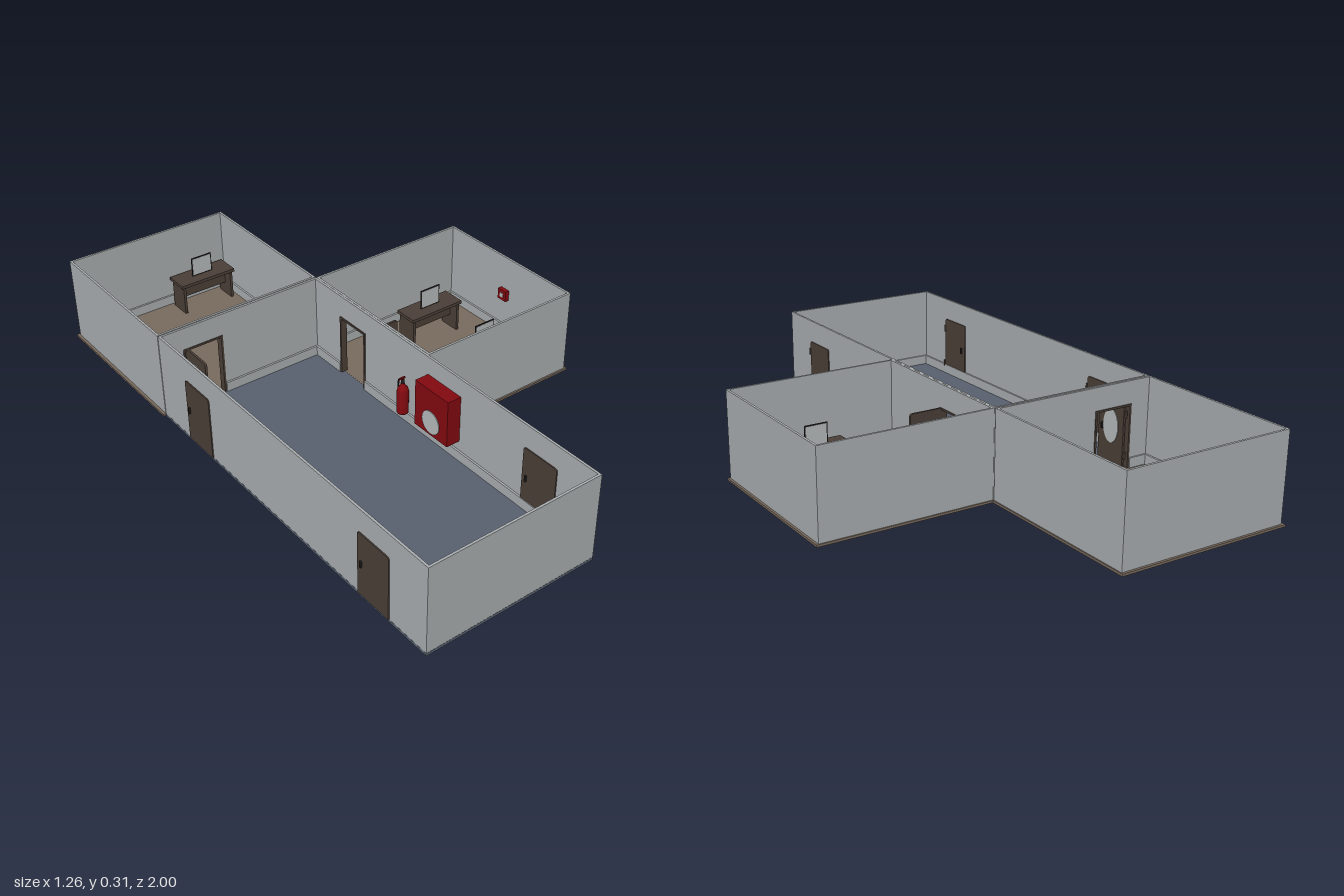
import * as THREE from 'three';

const mat = (name, color) => {
  const m = new THREE.MeshStandardMaterial({ color });
  m.name = name;
  return m;
};

export function createModel() {
  const model = new THREE.Group();
  model.name = 'floorPlan';
  const M = {
    wall: mat('wall grey', 0xabafb1),
    blue: mat('blue grey floor', 0x586170),
    brown: mat('brown floor', 0x796b5e),
    wood: mat('dark wood', 0x4b3f38),
    red: mat('safety red', 0x840a10),
    dark: mat('black fittings', 0x25211f),
    pale: mat('pale panel', 0xb8bcbd),
  };
  const H = 0.315, T = 0.008, DOOR_H = 0.235, FLOOR = 0.01;

  const add = (parent, name, geo, material, x = 0, y = 0, z = 0) => {
    const m = new THREE.Mesh(geo, material);
    m.name = name;
    m.position.set(x, y, z);
    parent.add(m);
    return m;
  };
  // box given by its minimum and maximum corners
  const span = (parent, name, material, x0, x1, y0, y1, z0, z1) =>
    add(parent, name, new THREE.BoxGeometry(x1 - x0, y1 - y0, z1 - z0), material,
      (x0 + x1) / 2, (y0 + y1) / 2, (z0 + z1) / 2);

  // wall along x (axis 'x') or z (axis 'z') from a to b, occupying c..c+T, with an optional doorway
  function wall(parent, name, axis, a, b, c, gap) {
    const piece = (s, e, y0, y1) => axis === 'x'
      ? span(parent, name, M.wall, s, e, y0, y1, c, c + T)
      : span(parent, name, M.wall, c, c + T, y0, y1, s, e);
    if (!gap) return piece(a, b, 0.006, H);
    piece(a, gap[0], 0.006, H);
    piece(gap[1], b, 0.006, H);
    piece(gap[0], gap[1], DOOR_H, H);
  }

  // skirting strip along the inner face of a wall, dir is the inward side
  function skirting(parent, axis, a, b, c, dir, gap) {
    const lo = Math.min(c, c + dir * 0.007), hi = Math.max(c, c + dir * 0.007);
    const parts = gap ? [[a, gap[0]], [gap[1], b]] : [[a, b]];
    for (const [s, e] of parts) {
      if (axis === 'x') span(parent, 'skirting', M.wall, s, e, FLOOR, 0.045, lo, hi);
      else span(parent, 'skirting', M.wall, lo, hi, FLOOR, 0.045, s, e);
    }
  }

  // one room: four walls with skirting, doorways keyed by side
  function room(name, x0, x1, z0, z1, gaps) {
    const g = new THREE.Group();
    g.name = name;
    model.add(g);
    wall(g, 'leftWall', 'z', z0, z1, x1 - T, gaps.left);
    wall(g, 'rightWall', 'z', z0, z1, x0, gaps.right);
    wall(g, 'frontWall', 'x', x0 + T, x1 - T, z1 - T, gaps.front);
    wall(g, 'backWall', 'x', x0 + T, x1 - T, z0, gaps.back);
    skirting(g, 'z', z0 + T, z1 - T, x1 - T, -1, gaps.left);
    skirting(g, 'z', z0 + T, z1 - T, x0 + T, 1, gaps.right);
    skirting(g, 'x', x0 + T, x1 - T, z1 - T, -1, gaps.front);
    skirting(g, 'x', x0 + T, x1 - T, z0 + T, 1, gaps.back);
    return g;
  }

  const sideGap = [-0.22, -0.08], backGap = [-0.54, -0.39];
  const hall = room('hall', -0.622, 0, -0.372, 1, { left: sideGap, back: backGap });
  const rear = room('rearOffice', -0.622, 0, -0.992, -0.376, { front: backGap });
  const side = room('sideOffice', 0.001, 0.62, -0.372, 0.24, { right: sideGap });

  // floors, with grey undersides below the offices
  span(hall, 'hallFloor', M.blue, -0.6225, 0.0005, 0, FLOOR, -0.372, 1.0005);
  span(rear, 'rearFloor', M.brown, -0.632, 0.004, 0.002, FLOOR, -1, -0.373);
  span(rear, 'rearUnderside', M.wall, -0.62, -0.008, 0, 0.002, -0.988, -0.373);
  span(side, 'sideFloor', M.brown, 0.001, 0.628, 0.002, FLOOR, -0.376, 0.246);
  span(side, 'sideUnderside', M.wall, 0.001, 0.616, 0, 0.002, -0.366, 0.236);

  // door leaf in local xy, hinged at x = 0, with rounded top corners
  function door(name, x, z, turn, width = 0.14, depth = 0.008, oval = false) {
    const g = new THREE.Group();
    g.name = name;
    const h = DOOR_H - FLOOR, r = 0.01;
    const s = new THREE.Shape();
    s.moveTo(0, 0);
    s.lineTo(width, 0);
    s.lineTo(width, h - r);
    s.quadraticCurveTo(width, h, width - r, h);
    s.lineTo(r, h);
    s.quadraticCurveTo(0, h, 0, h - r);
    add(g, 'leaf', new THREE.ExtrudeGeometry(s, { depth, bevelEnabled: false, curveSegments: 4 }),
      M.wood, 0, 0, -depth / 2);
    for (const k of [-1, 1]) {
      const out = k * (depth / 2 + 0.004);
      add(g, 'handle', new THREE.BoxGeometry(0.006, 0.022, 0.006), M.dark, width - 0.02, 0.12, out);
      if (oval) {
        const o = new THREE.CylinderGeometry(0.5, 0.5, 0.002, 24);
        o.rotateX(Math.PI / 2).scale(0.075, 0.12, 1);
        add(g, 'ovalPanel', o, M.pale, width / 2, 0.13, k * (depth / 2 + 0.001));
      }
    }
    for (const y of [0.04, 0.185])
      add(g, 'hinge', new THREE.CylinderGeometry(0.004, 0.004, 0.025, 8), M.wood, -0.002, y, depth / 2);
    g.position.set(x, FLOOR, z);
    g.rotation.y = turn;
    model.add(g);
  }
  const Q = Math.PI / 2;
  door('leftFrontDoor', -0.004, 0.84, Q, 0.14, 0.016);
  door('rightFrontDoor', -0.618, 0.84, Q, 0.14, 0.016);
  door('rightBackDoor', -0.618, -0.07, Q, 0.14, 0.016);
  door('openSideDoor', 0.005, -0.085, 0, 0.125);
  door('openRearDoor', -0.525, -0.372, -Q, 0.125, 0.008, true);

  // doorway frames
  const f = 0.007;
  for (const z of [sideGap[0], sideGap[1] - f])
    span(model, 'sideDoorFrame', M.wood, -0.012, 0.012, FLOOR, DOOR_H, z, z + f);
  span(model, 'sideDoorFrame', M.wood, -0.012, 0.012, DOOR_H - f, DOOR_H, ...sideGap);
  for (const x of [backGap[0], backGap[1] - f])
    span(model, 'rearDoorFrame', M.wood, x, x + f, FLOOR, DOOR_H, -0.387, -0.361);
  span(model, 'rearDoorFrame', M.wood, ...backGap, DOOR_H - f, DOOR_H, -0.387, -0.361);

  // desks, each with a thin upright screen
  function desk(x, z) {
    const g = new THREE.Group();
    g.name = 'desk';
    add(g, 'deskTop', new THREE.BoxGeometry(0.225, 0.012, 0.09), M.wood, 0, 0.124, 0);
    for (const k of [-1, 1])
      add(g, 'deskSide', new THREE.BoxGeometry(0.01, 0.108, 0.08), M.wood, k * 0.1, 0.064, 0);
    add(g, 'deskPanel', new THREE.BoxGeometry(0.19, 0.06, 0.006), M.wood, 0, 0.088, 0);
    add(g, 'screenFrame', new THREE.BoxGeometry(0.084, 0.074, 0.003), M.dark, 0, 0.167, 0);
    add(g, 'screenPanel', new THREE.BoxGeometry(0.076, 0.066, 0.005), M.pale, 0, 0.167, 0);
    g.position.set(x, 0, z);
    model.add(g);
  }
  desk(0.388, -0.222);
  desk(0.388, 0.073);
  desk(-0.138, -0.923);

  // hose cabinet with a round panel
  span(model, 'hoseCabinet', M.red, -0.06, -0.008, 0.08, 0.25, 0.25, 0.41);
  const disc = new THREE.CylinderGeometry(0.042, 0.042, 0.003, 28);
  disc.rotateZ(Q);
  add(model, 'cabinetPanel', disc, M.pale, -0.061, 0.13, 0.33);

  // extinguisher
  const ext = new THREE.Group();
  ext.name = 'extinguisher';
  ext.position.set(-0.03, 0.055, 0.15);
  model.add(ext);
  const profile = [[0, 0], [0.018, 0], [0.02, 0.004], [0.02, 0.085], [0.016, 0.1], [0.007, 0.108], [0.007, 0.116], [0, 0.116]];
  add(ext, 'bottle', new THREE.LatheGeometry(profile.map(p => new THREE.Vector2(...p)), 20), M.red);
  add(ext, 'valve', new THREE.CylinderGeometry(0.006, 0.006, 0.02, 10), M.dark, 0, 0.124, 0);
  add(ext, 'lever', new THREE.BoxGeometry(0.024, 0.005, 0.006), M.red, -0.004, 0.136, 0);
  const hose = new THREE.CatmullRomCurve3([[0, 0.126, 0], [0, 0.122, -0.018], [0, 0.09, -0.024], [0, 0.05, -0.023]]
    .map(p => new THREE.Vector3(...p)));
  add(ext, 'hose', new THREE.TubeGeometry(hose, 12, 0.003, 6), M.dark);

  // wall alarm
  span(model, 'alarmBox', M.red, 0.596, 0.613, 0.15, 0.19, -0.09, -0.05);
  span(model, 'alarmButton', M.pale, 0.594, 0.596, 0.162, 0.178, -0.078, -0.062);

  return model;
}
